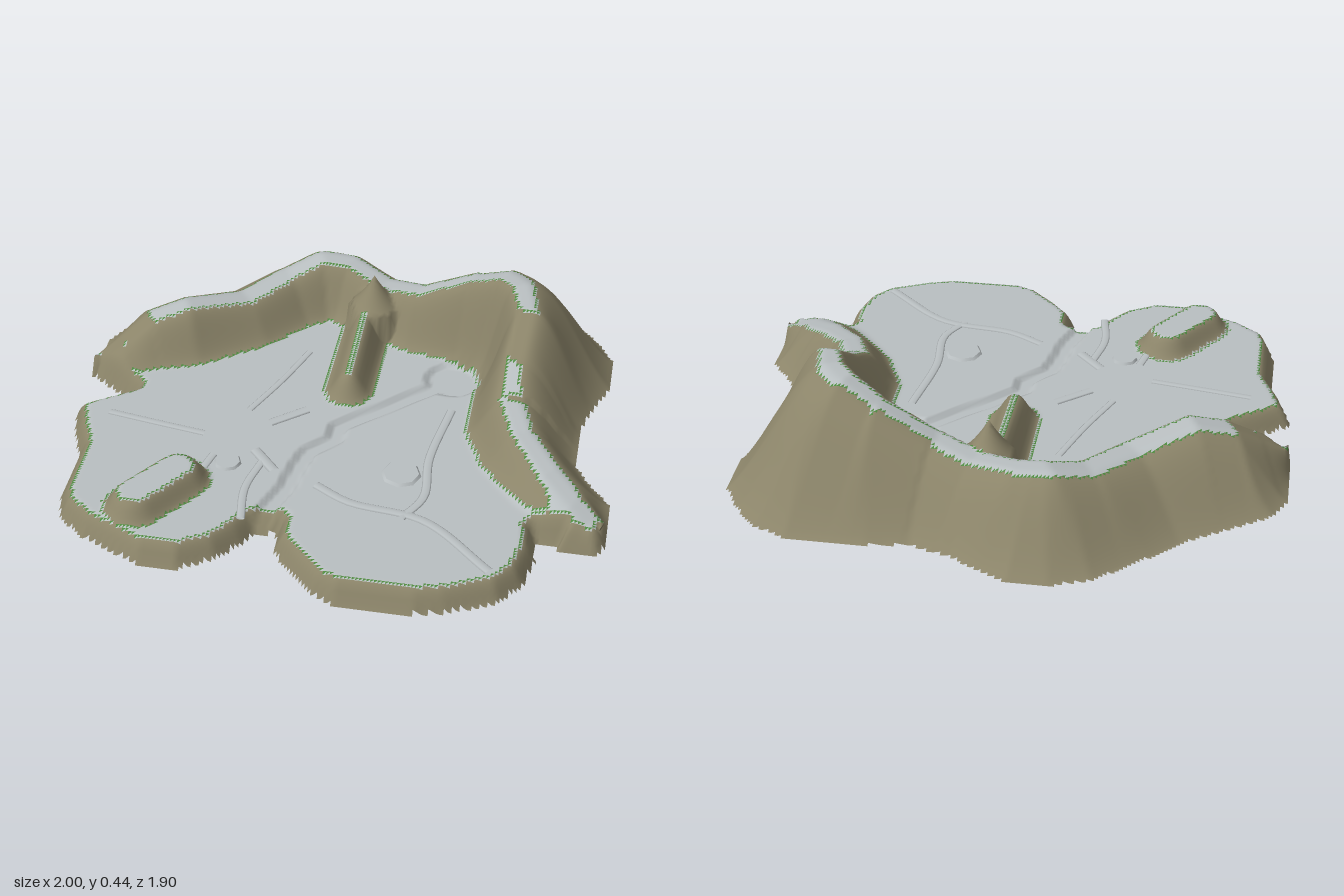
import * as THREE from 'three';

const mat = (name, color) => Object.assign(
  new THREE.MeshStandardMaterial({ color, side: THREE.DoubleSide }), { name });

const FLOOR = 0.085;
const pairs = (a, n = 2) => Array.from({ length: a.length / n }, (_, i) => a.slice(i * n, i * n + n));

// island footprint (x, z)
const outline = pairs([
  -0.24, -0.95, -0.10, -0.95, 0, -0.90, 0.11, -0.84, 0.25, -0.80, 0.40, -0.82, 0.68, -0.82, 0.80, -0.77,
  0.88, -0.68, 0.95, -0.56, 0.95, -0.39, 0.90, -0.26, 0.86, -0.12, 0.86, 0.08, 0.91, 0.17, 1, 0.28,
  1, 0.51, 0.97, 0.55, 0.84, 0.55, 0.84, 0.52, 0.76, 0.52, 0.77, 0.62, 0.74, 0.75, 0.67, 0.84,
  0.50, 0.92, 0.40, 0.945, 0.13, 0.945, 0.05, 0.91, -0.04, 0.82, -0.115, 0.73, -0.12, 0.64, -0.20, 0.65,
  -0.23, 0.71, -0.30, 0.80, -0.42, 0.87, -0.56, 0.87, -0.67, 0.82, -0.78, 0.77, -0.88, 0.69, -0.906, 0.61,
  -0.91, 0.36, -0.96, 0.24, -0.99, 0.13, -0.89, 0.06, -0.80, 0, -0.86, -0.03, -0.94, -0.08, -1, -0.12,
  -1, -0.35, -0.95, -0.45, -0.80, -0.55, -0.65, -0.65, -0.55, -0.75, -0.46, -0.83, -0.38, -0.90]);
const outlineLoop = [...outline, outline[0]];

// ridge line (x, z, height)
const crest = pairs([
  -0.96, -0.13, 0.09, -0.88, -0.17, 0.15, -0.78, -0.23, 0.225, -0.65, -0.28, 0.265, -0.45, -0.42, 0.225,
  -0.32, -0.58, 0.24, -0.20, -0.66, 0.28, -0.10, -0.66, 0.275, 0.05, -0.58, 0.24, 0.20, -0.52, 0.27,
  0.40, -0.49, 0.37, 0.52, -0.44, 0.43, 0.58, -0.38, 0.44, 0.62, -0.26, 0.42, 0.60, -0.10, 0.31,
  0.60, 0.04, 0.235, 0.66, 0.18, 0.205, 0.78, 0.33, 0.16, 0.88, 0.42, 0.12, 0.96, 0.47, 0.08], 3);
const floorSide = [...crest, [1.1, 0.5], [1.1, 1.1], [-1.1, 1.1], [-1.1, -0.1]];

const spur = [[0, -0.5, 0.22], [0, -0.3, 0.2], [0, -0.09, 0.18]];
const mound = [[-0.5, 0.51, 0], [-0.61, 0.67, 0]];
const river = pairs([0.37, -0.24, 0.28, -0.15, 0.0, 0.11, 0.0, 0.18, -0.08, 0.27, -0.10, 0.35,
  -0.12, 0.48, -0.17, 0.62, -0.17, 0.8]);

// distance to a polyline and the third value at the nearest point
function nearest(line, x, z) {
  let d = Infinity, v = 0;
  for (let i = 0; i + 1 < line.length; i++) {
    const [ax, az, av = 0] = line[i], [bx, bz, bv = 0] = line[i + 1];
    const dx = bx - ax, dz = bz - az;
    const t = THREE.MathUtils.clamp(((x - ax) * dx + (z - az) * dz) / (dx * dx + dz * dz), 0, 1);
    const e = Math.hypot(x - ax - dx * t, z - az - dz * t);
    if (e < d) { d = e; v = av + (bv - av) * t; }
  }
  return { d, v };
}
function inside(poly, x, z) {
  let hit = false;
  for (let i = 0, j = poly.length - 1; i < poly.length; j = i++) {
    const [ax, az] = poly[i], [bx, bz] = poly[j];
    if ((az > z) !== (bz > z) && x < (bx - ax) * (z - az) / (bz - az) + ax) hit = !hit;
  }
  return hit;
}
const smooth = t => THREE.MathUtils.smoothstep(t, 0, 1);
const round = t => Math.sin(Math.min(1, Math.max(0, t)) * Math.PI / 2);

// land height before the river is cut
function land(x, z) {
  if (!inside(outline, x, z)) return { h: 0, top: false };
  const out = nearest(outlineLoop, x, z).d;
  const { d, v } = nearest(crest, x, z);
  const inner = inside(floorSide, x, z);
  let h;
  if (inner) {
    h = FLOOR + Math.max(0, v - FLOOR) * smooth(1 - (d - 0.02) / 0.13);
    const m = nearest(mound, x, z).d;
    h = Math.max(h, FLOOR + 0.07 * smooth((0.115 - m) / 0.06));
    h *= round(out / 0.05);
  } else {
    const t = out / (out + Math.max(0, d - 0.03));
    h = v * 0.5 * (round(t) + smooth(t));
  }
  const s = nearest(spur, x, z);
  if (s.d < 0.1) h = Math.max(h, FLOOR + (s.v - FLOOR) * smooth((0.09 - s.d) / 0.08));
  const p = Math.hypot(x - 0.025, z + 0.5);
  if (p < 0.1) h = Math.max(h, 0.335 - 1.9 * p + 0.5 * p * Math.min(1, p * 10));
  return { h, top: inner || d < 0.075 };
}
function riverCut(x, z) {
  const bed = smooth((0.036 - nearest(river, x, z).d) / 0.012);
  const pool = smooth((0.105 - Math.hypot(x - 0.37, z + 0.24)) / 0.012);
  return 0.02 * Math.max(bed, pool);
}

function buildTerrain(materials) {
  const STEP = 0.0125, NX = 161, NZ = 155, X0 = -1, Z0 = -0.9625;
  const pos = [], base = [], tops = [];
  for (let j = 0; j < NZ; j++) for (let i = 0; i < NX; i++) {
    const x = X0 + i * STEP, z = Z0 + j * STEP, { h, top } = land(x, z);
    base.push(h); tops.push(top);
    pos.push(x, h > 0.04 ? h - riverCut(x, z) : h, z);
  }
  // sort cells: 0 bare plateau, 1 earth slope, -1 nothing
  const kind = (i, j) => {
    if (i < 0 || j < 0 || i >= NX - 1 || j >= NZ - 1) return -1;
    if (!inside(outline, X0 + (i + 0.5) * STEP, Z0 + (j + 0.5) * STEP)) return -1;
    const a = j * NX + i, b = a + 1, c = a + NX, d = c + 1;
    const gx = (base[b] + base[d] - base[a] - base[c]) / (2 * STEP);
    const gz = (base[c] + base[d] - base[a] - base[b]) / (2 * STEP);
    return tops[a] && base[a] > 0.07 && Math.hypot(gx, gz) < 0.6 ? 0 : 1;
  };
  const kinds = [];
  for (let j = 0; j < NZ - 1; j++) for (let i = 0; i < NX - 1; i++) kinds.push(kind(i, j));
  const at = (i, j) => i < 0 || j < 0 || i >= NX - 1 || j >= NZ - 1 ? -1 : kinds[j * (NX - 1) + i];

  const faces = [[], [], []];
  for (let j = 0; j < NZ - 1; j++) for (let i = 0; i < NX - 1; i++) {
    const k = at(i, j);
    if (k < 0) continue;
    const a = j * NX + i, b = a + 1, c = a + NX, d = c + 1;
    const edge = k === 0 && [at(i - 1, j), at(i + 1, j), at(i, j - 1), at(i, j + 1)].includes(1);
    faces[edge ? 2 : k].push(a, c, b);
    faces[k].push(b, c, d);
  }
  const geo = new THREE.BufferGeometry();
  geo.setAttribute('position', new THREE.Float32BufferAttribute(pos, 3));
  geo.setIndex(faces.flat());
  let start = 0;
  faces.forEach((f, m) => { geo.addGroup(start, f.length, m); start += f.length; });
  geo.computeVertexNormals();
  const mesh = new THREE.Mesh(geo, materials);
  mesh.name = 'terrain';
  return mesh;
}

export function createModel() {
  const group = new THREE.Group();
  group.name = 'island';
  const stone = mat('pale stone', 0xb9bfc1);
  const earth = mat('brown earth', 0x8b8469);
  const grass = mat('green fringe', 0x4f8a40);
  group.add(buildTerrain([stone, earth, grass]));

  // low winding banks on the plateau: radius, then x, z points
  const banks = [
    [0.013, -0.19, -0.31, -0.26, -0.11, -0.34, 0.08],
    [0.02, -0.13, 0.04, -0.25, 0.14],
    [0.015, -0.84, 0.18, -0.66, 0.21, -0.47, 0.24],
    [0.015, -0.41, 0.35, -0.45, 0.48, -0.57, 0.62],
    [0.02, -0.27, 0.30, -0.18, 0.40],
    [0.015, -0.23, 0.35, -0.26, 0.51, -0.24, 0.67],
    [0.016, 0.39, -0.05, 0.35, 0.24, 0.36, 0.45, 0.30, 0.57],
    [0.018, -0.02, 0.45, 0.11, 0.52, 0.38, 0.57, 0.63, 0.78]];
  for (const [r, ...xz] of banks) {
    const curve = new THREE.CatmullRomCurve3(pairs(xz).map(([x, z]) => new THREE.Vector3(x, 0, z)));
    const bank = new THREE.Mesh(new THREE.TubeGeometry(curve, 20, r, 8), stone);
    bank.scale.y = 0.3;
    bank.position.y = FLOOR;
    bank.name = 'bank';
    group.add(bank);
  }

  // flat boulders
  for (const [x, z, r] of [[0.265, 0.34, 0.08], [-0.35, 0.385, 0.055]]) {
    const boulder = new THREE.Mesh(new THREE.CylinderGeometry(r * 0.8, r, 0.02, 8), stone);
    boulder.position.set(x, FLOOR, z);
    boulder.name = 'boulder';
    group.add(boulder);
  }
  return group;
}
